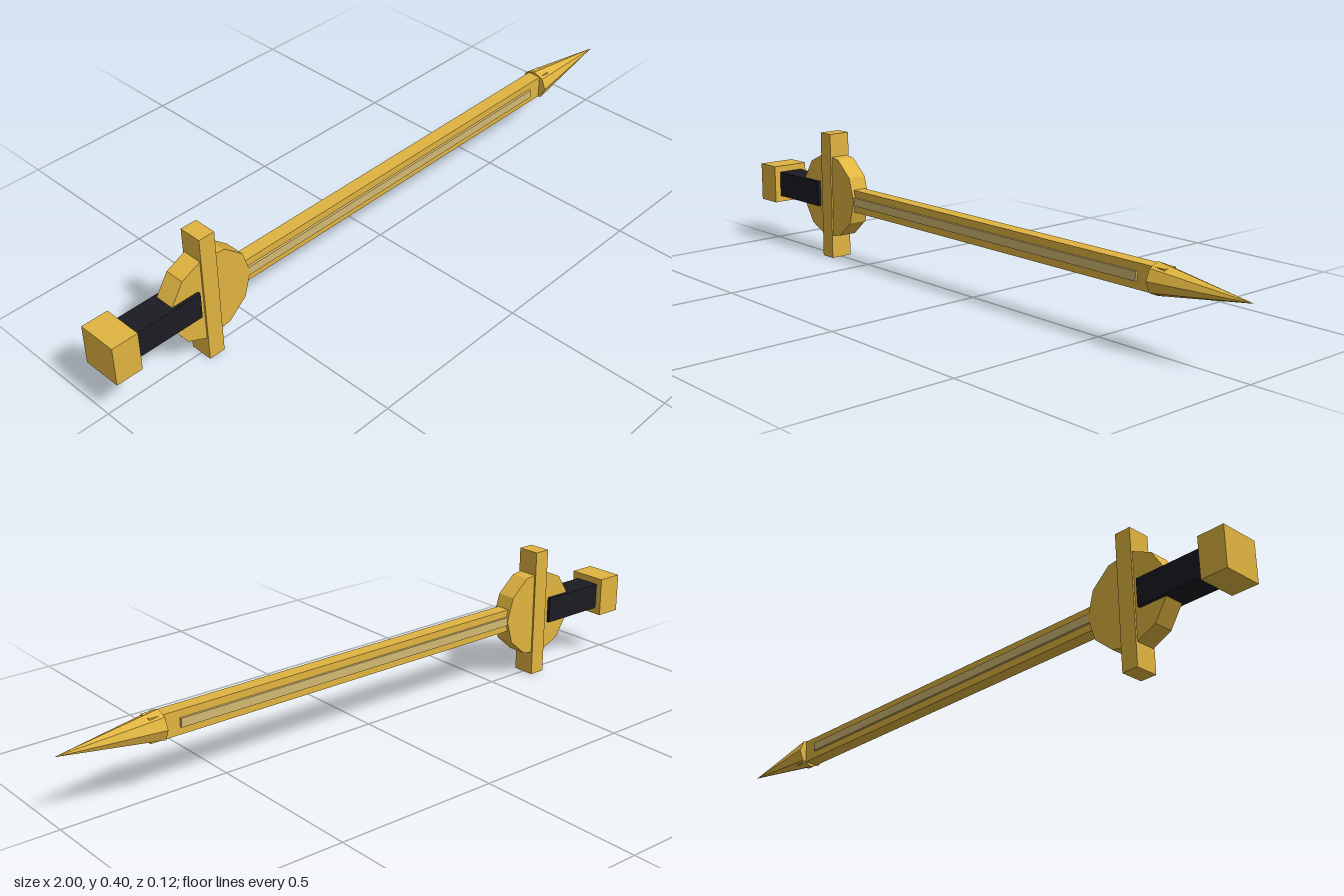
import * as THREE from 'three';

const CY = 0.2; // height of the sword's long axis

export function createModel() {
  const group = new THREE.Group();
  const gold = new THREE.MeshStandardMaterial({ color: 0xe0b440, flatShading: true });
  const pale = new THREE.MeshStandardMaterial({ color: 0xd2b870, flatShading: true });
  const dark = new THREE.MeshStandardMaterial({ color: 0x1b1b22, flatShading: true });

  const add = (name, geometry, material, x, z = 0) => {
    const mesh = new THREE.Mesh(geometry, material);
    mesh.name = name;
    mesh.position.set(x, CY, z);
    group.add(mesh);
    return mesh;
  };
  // Box spanning x0..x1, centred on the axis
  const bar = (name, x0, x1, h, d, material, z = 0) =>
    add(name, new THREE.BoxGeometry(x1 - x0, h, d), material, (x0 + x1) / 2, z);

  // Handle
  bar('pommel', -1, -0.92, 0.12, 0.12, gold);
  bar('grip', -0.92, -0.705, 0.08, 0.08, dark);

  // Guard: eleven-sided disc with a vertex towards the tip, and an upright bar
  const disc = new THREE.CylinderGeometry(0.134, 0.134, 0.06, 11);
  disc.rotateY(Math.PI / 2).rotateX(Math.PI / 2);
  add('guardDisc', disc, gold, -0.663);
  bar('crossguard', -0.69, -0.64, 0.4, 0.07, gold);

  // Blade with a raised strip on each face
  bar('blade', -0.6, 0.74, 0.07, 0.042, gold);
  for (const side of [1, -1]) {
    bar(side > 0 ? 'frontStrip' : 'backStrip', -0.6, 0.65, 0.026, 0.012, pale, side * 0.022);
  }

  // Eight-sided tip
  const tip = new THREE.ConeGeometry(0.045, 0.3, 8);
  tip.rotateZ(-Math.PI / 2);
  add('tip', tip, gold, 0.85);

  return group;
}
